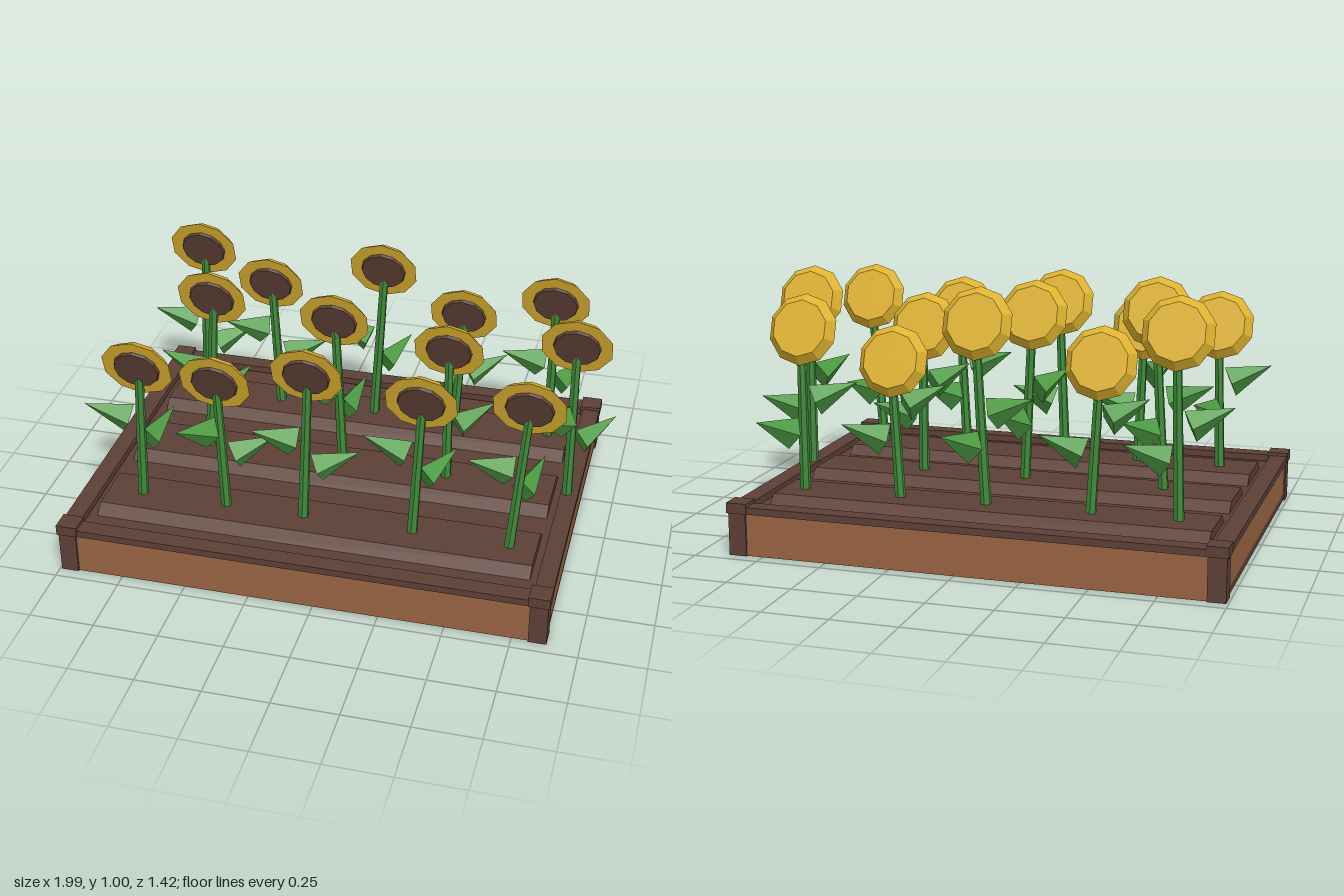
import * as THREE from 'three';

const material = (name, color) => {
  const m = new THREE.MeshStandardMaterial({ color, flatShading: true });
  m.name = name;
  return m;
};

export function createModel() {
  const model = new THREE.Group();
  model.name = 'flowerBed';
  const earth = material('dark brown', 0x5d4037);
  const wood = material('wood brown', 0x9a6443);
  const stemGreen = material('stem green', 0x3f8a3a);
  const leafGreen = material('leaf green', 0x4c9a42);
  const yellow = material('petal yellow', 0xdeb22f);

  const add = (parent, name, geometry, mat, x = 0, y = 0, z = 0) => {
    const mesh = new THREE.Mesh(geometry, mat);
    mesh.name = name;
    mesh.position.set(x, y, z);
    parent.add(mesh);
    return mesh;
  };
  const box = (parent, name, mat, w, h, d, x, y, z) =>
    add(parent, name, new THREE.BoxGeometry(w, h, d), mat, x, y, z);

  // Planter box, set a little to the right of the origin
  const planter = new THREE.Group();
  planter.name = 'planter';
  planter.position.x = -0.056;
  model.add(planter);
  box(planter, 'base', earth, 1.86, 0.03, 1.36, 0, 0.017, 0);
  box(planter, 'soil', earth, 1.80, 0.13, 1.32, 0, 0.09, 0);
  for (const s of [-1, 1]) {
    box(planter, 'longPanel', wood, 1.82, 0.165, 0.03, 0, 0.0825, s * 0.682);
    box(planter, 'endPanel', wood, 0.03, 0.135, 1.34, s * 0.915, 0.0975, 0);
    box(planter, 'longRail', earth, 1.88, 0.027, 0.068, 0, 0.176, s * 0.672);
    box(planter, 'endRail', earth, 0.068, 0.027, 1.30, s * 0.906, 0.176, 0);
    for (const t of [-1, 1]) {
      box(planter, 'cornerPost', earth, 0.068, 0.165, 0.07, s * 0.902, 0.0825, t * 0.67);
      box(planter, 'cornerCap', earth, 0.08, 0.04, 0.08, s * 0.902, 0.183, t * 0.67);
    }
  }

  // Raised soil ridges with sloping flanks
  const profile = new THREE.Shape([[-0.162, 0.14], [0.162, 0.14], [0.104, 0.192], [-0.104, 0.192]]
    .map(([x, y]) => new THREE.Vector2(x, y)));
  const ridgeGeo = new THREE.ExtrudeGeometry(profile, { depth: 1.684, bevelEnabled: false });
  ridgeGeo.translate(0, 0, -0.842).rotateY(Math.PI / 2);
  for (const z of [-0.4, 0, 0.4]) add(planter, 'soilRidge', ridgeGeo, earth, 0, 0, z);

  // Shared leaf: a four-sided pyramid pointing outward along +x and tilted up
  const leafGeo = new THREE.ConeGeometry(0.062, 0.175, 4);
  leafGeo.translate(0, 0.0875, 0).rotateZ(-Math.PI / 2).scale(1, 1, 0.8);
  leafGeo.rotateZ(THREE.MathUtils.degToRad(22)).translate(0.045, 0, 0);

  // Shared flower head, facing +z
  const petalGeo = new THREE.CylinderGeometry(0.138, 0.108, 0.036, 10);
  petalGeo.rotateX(Math.PI / 2).translate(0, 0, -0.01);
  const centreGeo = new THREE.CylinderGeometry(0.086, 0.09, 0.012, 12);
  centreGeo.rotateX(Math.PI / 2).translate(0, 0, 0.013);

  // Rows of plants: [base x, head x, head y, upper leaf angle, lower leaf angle]
  const rows = [
    [-0.4, [
      [-0.76, -0.74, 0.875, 159, -28], [-0.43, -0.46, 0.75, 145, -12],
      [-0.03, 0.01, 0.87, 182, -60], [0.31, 0.34, 0.71, 141, -30],
      [0.70, 0.703, 0.81, 157, -55]]],
    [0, [
      [-0.617, -0.575, 0.875, 180, -56], [-0.06, -0.088, 0.84, 124, -74],
      [0.36, 0.36, 0.77, 134, -37], [0.84, 0.84, 0.855, 116, -42]]],
    [0.4, [
      [-0.76, -0.742, 0.765, 164, -71], [-0.42, -0.44, 0.745, 123, -24],
      [-0.115, -0.088, 0.825, 154, -14], [0.31, 0.34, 0.775, 175, -54],
      [0.68, 0.732, 0.81, 155, -70]]],
  ];
  const up = new THREE.Vector3(0, 1, 0);
  for (const [z, plants] of rows) {
    for (const [baseX, headX, headY, upper, lower] of plants) {
      const plant = new THREE.Group();
      plant.name = 'flowerPlant';
      plant.position.z = z;
      model.add(plant);

      // Leaning stem
      const foot = new THREE.Vector3(baseX, 0.16, 0);
      const tip = new THREE.Vector3(headX, headY - 0.03, 0);
      const dir = tip.clone().sub(foot);
      const stem = add(plant, 'stem',
        new THREE.CylinderGeometry(0.017, 0.021, dir.length(), 6), stemGreen);
      stem.position.copy(foot).lerp(tip, 0.5);
      stem.quaternion.setFromUnitVectors(up, dir.normalize());

      // Two leaves on opposite sides
      for (const [angle, y] of [[upper, 0.538], [lower, 0.415]]) {
        const x = THREE.MathUtils.mapLinear(y, foot.y, tip.y, baseX, headX);
        const leaf = add(plant, 'leaf', leafGeo, leafGreen, x, y, 0);
        leaf.rotation.y = -THREE.MathUtils.degToRad(angle);
      }

      // Drooping flower head
      const head = new THREE.Group();
      head.name = 'flowerHead';
      head.position.set(headX, headY, 0.012);
      head.rotation.x = THREE.MathUtils.degToRad(18.5);
      plant.add(head);
      add(head, 'petals', petalGeo, yellow);
      add(head, 'seedCentre', centreGeo, earth);
    }
  }
  return model;
}
